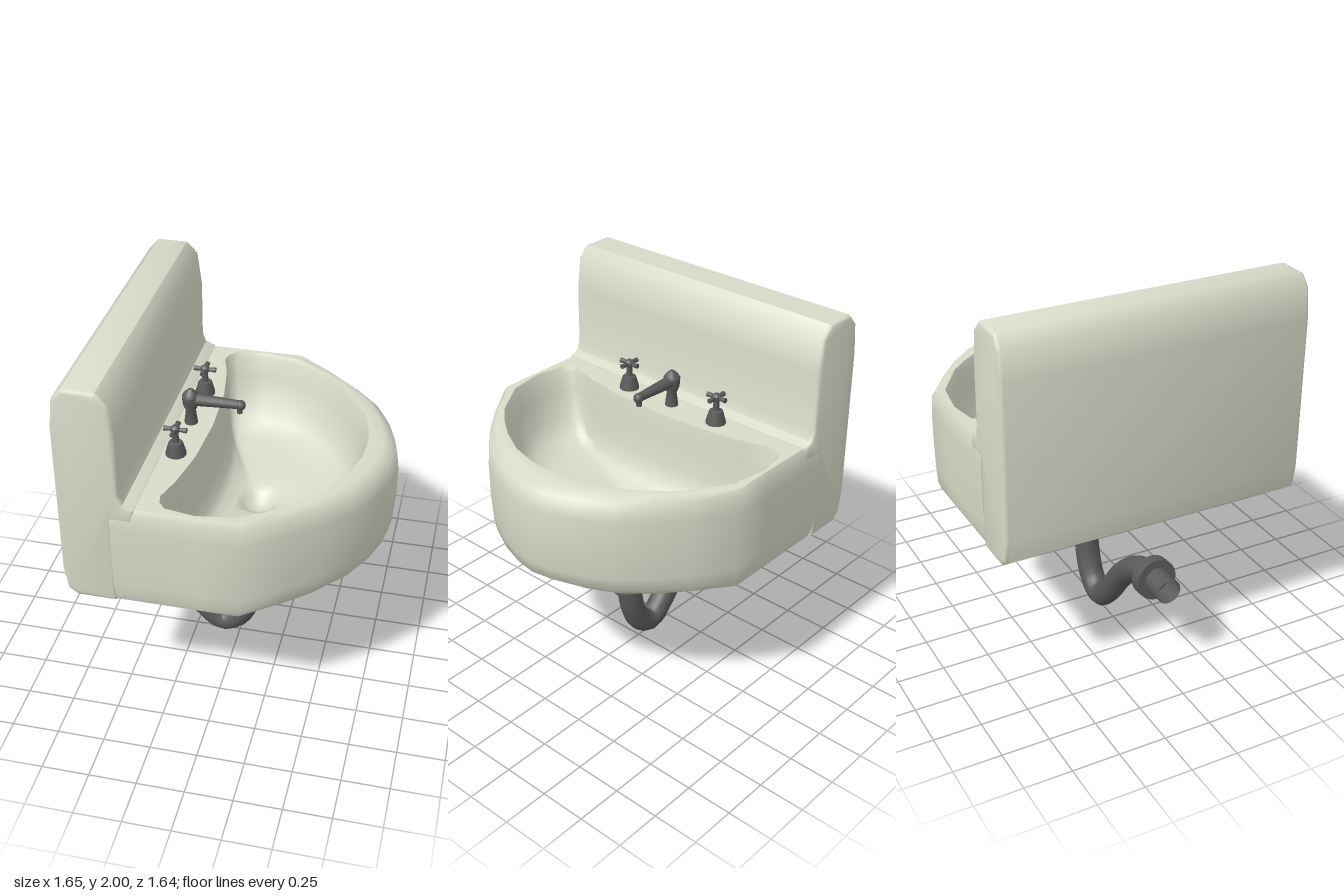
import * as THREE from 'three';
import { toCreasedNormals } from 'three/addons/utils/BufferGeometryUtils.js';

const ceramic = new THREE.MeshStandardMaterial({ color: 0xd9dac9, side: THREE.DoubleSide });
const metal = new THREE.MeshStandardMaterial({ color: 0x5a5a5a, side: THREE.DoubleSide });

function add(parent, name, geometry, material, x = 0, y = 0, z = 0) {
  const mesh = new THREE.Mesh(geometry, material);
  mesh.name = name;
  mesh.position.set(x, y, z);
  parent.add(mesh);
  return mesh;
}

const lathe = (pts, sides) =>
  toCreasedNormals(new THREE.LatheGeometry(pts.map(p => new THREE.Vector2(...p)), sides), 0.7);

// Half outlines [x, z] run from back centre to front centre; the other half is mirrored
const mirror = half => [...half, ...half.slice(1, -1).reverse().map(([x, z]) => [x, -z])];
const OUTER = mirror([[-0.45, 0], [-0.45, 0.3], [-0.45, 0.55], [-0.45, 0.75], [-0.45, 0.82], [-0.25, 0.82],
  [-0.02, 0.82], [0.19, 0.82], [0.39, 0.68], [0.54, 0.56], [0.67, 0.42], [0.756, 0.26], [0.805, 0.12], [0.825, 0]]);
const INNER = mirror([[-0.14, 0], [-0.155, 0.3], [-0.195, 0.53], [-0.235, 0.66], [-0.225, 0.71], [-0.19, 0.75],
  [-0.04, 0.775], [0.16, 0.745], [0.36, 0.615], [0.45, 0.52], [0.53, 0.41], [0.61, 0.26], [0.645, 0.12], [0.655, 0]]);
const DRAIN_X = 0.1;

// Skin through rings, from the underside, up the outside, over the rim and down to the drain
function basinGeometry() {
  const inset = (fx, fz, y) => OUTER.map(([x, z]) => [x > 0 ? x * fx : x, y, z * fz]);
  const bowl = (t, y) => INNER.map(([x, z]) => [x + (DRAIN_X - x) * t, y, z * (1 - t)]);
  const circle = (r, y) => INNER.map(([x, z]) => {
    const d = Math.hypot(x - DRAIN_X, z);
    return [DRAIN_X + (x - DRAIN_X) / d * r, y, z / d * r];
  });
  const rings = [
    circle(0, 0.81), inset(0.9, 0.975, 0.81), inset(0.965, 0.99, 0.85), inset(0.985, 0.995, 0.92),
    inset(1, 1, 1.08), inset(1, 1, 1.25), inset(0.975, 0.995, 1.345), inset(0.905, 0.975, 1.376),
    bowl(-0.01, 1.376), bowl(0.01, 1.35), bowl(0.04, 1.24), bowl(0.1, 1.1), bowl(0.18, 1.02),
    bowl(0.32, 0.98), bowl(0.55, 0.96), circle(0.14, 0.945), circle(0.09, 0.92),
    circle(0.05, 0.87), circle(0, 0.87)
  ];
  const n = OUTER.length, index = [];
  for (let r = 0; r < rings.length - 1; r++) {
    for (let i = 0; i < n; i++) {
      const j = (i + 1) % n;
      const a = r * n + i, b = r * n + j, c = b + n, d = a + n;
      if (r > 0) index.push(a, b, c);
      else index.push(a, c, d);
      if (r > 0 && r < rings.length - 2) index.push(a, c, d);
    }
  }
  const geo = new THREE.BufferGeometry();
  geo.setAttribute('position', new THREE.Float32BufferAttribute(rings.flat(2), 3));
  geo.setIndex(index);
  return toCreasedNormals(geo, 0.95);
}

// Side profile of the backsplash with a fillet onto the deck, extruded across the width
function backsplashGeometry() {
  const profile = [[-0.64, 0.81], [-0.69, 0.845], [-0.71, 0.97], [-0.71, 1.78], [-0.692, 1.94], [-0.64, 2],
    [-0.48, 2], [-0.422, 1.94], [-0.4, 1.76], [-0.4, 1.45], [-0.382, 1.4], [-0.33, 1.378],
    [-0.33, 1.3], [-0.44, 1.3], [-0.44, 0.81]];
  const shape = new THREE.Shape(profile.map(p => new THREE.Vector2(...p)));
  const bevel = 0.018;
  const geo = new THREE.ExtrudeGeometry(shape, {
    depth: 1.638 - 2 * bevel, bevelEnabled: true, bevelSize: bevel, bevelThickness: bevel,
    bevelOffset: -bevel, bevelSegments: 2
  });
  geo.translate(0, 0, -0.819 + bevel);
  return toCreasedNormals(geo, 0.8);
}

function createTap(z) {
  const tap = new THREE.Group();
  tap.name = 'tapHandle';
  tap.position.set(-0.26, 1.37, z);
  add(tap, 'tapStem', lathe([[0.055, 0], [0.053, 0.015], [0.036, 0.075], [0.018, 0.08], [0.016, 0.13],
    [0.025, 0.14], [0.025, 0.16], [0.012, 0.172], [0, 0.172]], 12), metal);
  // Cross of four flared spokes
  for (let k = 0; k < 4; k++) {
    const spoke = new THREE.CylinderGeometry(0.014, 0.009, 0.05, 8);
    spoke.rotateZ(-Math.PI / 2).translate(0.034, 0.15, 0).rotateY(k * Math.PI / 2);
    add(tap, 'tapSpoke', spoke, metal);
  }
  return tap;
}

function createSpout() {
  const spout = new THREE.Group();
  spout.name = 'spout';
  spout.position.set(-0.26, 1.37, 0);
  add(spout, 'spoutBody', lathe([[0.036, 0], [0.034, 0.02], [0.026, 0.08], [0.042, 0.12], [0.045, 0.165],
    [0.032, 0.185], [0.012, 0.204], [0, 0.204]], 14), metal);
  const arm = new THREE.CylinderGeometry(0.022, 0.034, 0.27, 12);
  arm.rotateZ(-Math.PI / 2);
  add(spout, 'spoutArm', arm, metal, 0.135, 0.145, 0);
  const tip = new THREE.SphereGeometry(0.027, 12, 8);
  add(spout, 'spoutTip', tip, metal, 0.262, 0.143, 0);
  add(spout, 'spoutNozzle', new THREE.CylinderGeometry(0.016, 0.014, 0.04, 10), metal, 0.258, 0.117, 0);
  return spout;
}

function createDrainPipe() {
  const pipe = new THREE.Group();
  pipe.name = 'drainPipe';
  const path = new THREE.CatmullRomCurve3([[0.095, 0.8], [0.093, 0.6], [0.082, 0.4], [0.045, 0.21], [-0.015, 0.105],
    [-0.1, 0.068], [-0.195, 0.145], [-0.35, 0.34], [-0.49, 0.46], [-0.6, 0.505], [-0.7, 0.515]]
    .map(([x, y]) => new THREE.Vector3(x, y, 0)));
  add(pipe, 'trapPipe', new THREE.TubeGeometry(path, 40, 0.067, 16), metal);
  add(pipe, 'drainFlange', new THREE.CylinderGeometry(0.1, 0.1, 0.05, 20), metal, 0.093, 0.787, 0);
  // Pair of coupling rings
  for (const y of [0.382, 0.412]) {
    add(pipe, 'couplingRing', new THREE.CylinderGeometry(0.086, 0.086, 0.018, 20), metal, 0.084, y, 0)
      .rotation.z = -0.13;
  }
  // Wall collar and open stub
  add(pipe, 'wallCollar', new THREE.CylinderGeometry(0.11, 0.11, 0.065, 20), metal, -0.677, 0.514, 0)
    .rotation.z = Math.PI / 2 - 0.08;
  add(pipe, 'wallStub', new THREE.CylinderGeometry(0.067, 0.067, 0.14, 16, 1, true), metal, -0.76, 0.517, 0)
    .rotation.z = Math.PI / 2;
  return pipe;
}

export function createModel() {
  const sink = new THREE.Group();
  sink.name = 'sink';
  add(sink, 'basin', basinGeometry(), ceramic);
  add(sink, 'backsplash', backsplashGeometry(), ceramic);
  sink.add(createSpout(), createTap(0.3), createTap(-0.3), createDrainPipe());
  return sink;
}
